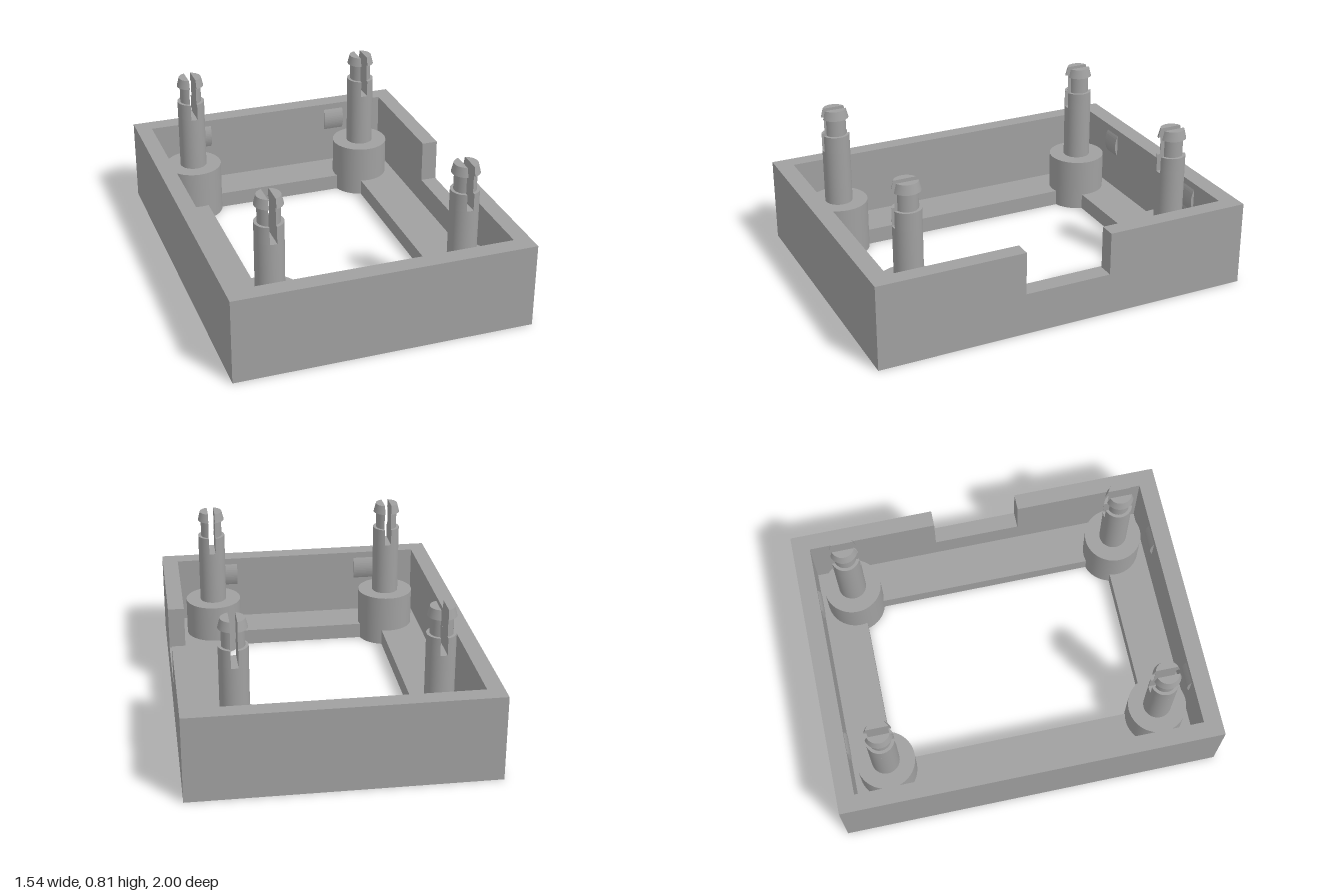
import * as THREE from 'three';

const grey = new THREE.MeshStandardMaterial({ color: 0xa0a0a0 });
grey.name = 'grey plastic';

const OX = 0.77, OZ = 1;          // outer half size
const IX = 0.685, IZ = 0.908;     // inner wall half size
const HX = 0.457, HZ = 0.687;     // floor opening half size
const FLOOR = 0.085, SILL = 0.22, TOP = 0.445, BOSS = 0.285;
const NOTCH = 0.23;               // half width of the notch

const rect = (x, z) => [[-x, -z], [x, -z], [x, z], [-x, z]].map(p => new THREE.Vector2(...p));

function add(parent, name, geometry) {
  const mesh = new THREE.Mesh(geometry, grey);
  mesh.name = name;
  parent.add(mesh);
  return mesh;
}

// Flat outline extruded upwards from y0 to y1
function slab(outline, hole, y0, y1) {
  const shape = new THREE.Shape(outline);
  if (hole) shape.holes.push(new THREE.Path(hole));
  const g = new THREE.ExtrudeGeometry(shape, { depth: y1 - y0, bevelEnabled: false });
  return g.rotateX(-Math.PI / 2).translate(0, y0, 0);
}

// Half of a split pin: circle segments beyond x = gap, stacked along a [radius, y] profile
function prongGeometry(profile, gap, n = 24) {
  const pos = [], idx = [];
  const ring = ([r, y]) => {
    const a = Math.acos(gap / r), out = [];
    for (let i = 0; i <= n; i++) {
      const t = -a + (2 * a * i) / n;
      out.push([r * Math.cos(t), y, -r * Math.sin(t)]);
    }
    return out;
  };
  const band = (low, high) => {
    const s = pos.length / 3, m = low.length;
    [...low, ...high].forEach(p => pos.push(...p));
    for (let i = 0; i < m - 1; i++) {
      const a = s + i, b = a + 1, c = a + m, d = c + 1;
      idx.push(a, b, d, a, d, c);
    }
  };
  const rings = profile.map(ring);
  for (let k = 0; k < rings.length - 1; k++) {
    const lo = rings[k], hi = rings[k + 1];
    band(lo, hi);
    if (profile[k][1] !== profile[k + 1][1]) band([lo[n], lo[0]], [hi[n], hi[0]]);
  }
  // top cap
  const last = rings[rings.length - 1], s = pos.length / 3;
  last.forEach(p => pos.push(...p));
  for (let i = 1; i < n; i++) idx.push(s, s + i, s + i + 1);
  const g = new THREE.BufferGeometry();
  g.setAttribute('position', new THREE.Float32BufferAttribute(pos, 3));
  g.setIndex(idx);
  g.computeVertexNormals();
  return g;
}

// Shallow rounded bump, its profile in depth and height swept along x
function clipGeometry(width, depth, height) {
  const shape = new THREE.Shape();
  shape.moveTo(-0.01, -height / 2);
  shape.lineTo(0, -height / 2);
  shape.quadraticCurveTo(depth * 2, 0, 0, height / 2);
  shape.lineTo(-0.01, height / 2);
  const g = new THREE.ExtrudeGeometry(shape, { depth: width, bevelEnabled: false, curveSegments: 12 });
  return g.translate(0, 0, -width / 2).rotateY(-Math.PI / 2);
}

export function createModel() {
  const model = new THREE.Group();
  model.name = 'enclosureFrame';

  // Tray: open floor, lower wall ring, upper wall interrupted by the notch
  const tray = new THREE.Group();
  tray.name = 'tray';
  model.add(tray);
  add(tray, 'floor', slab(rect(OX, OZ), rect(HX, HZ), 0, FLOOR));
  add(tray, 'lowerWall', slab(rect(OX, OZ), rect(IX, IZ), FLOOR, SILL));
  const upper = [
    [OX, NOTCH], [OX, OZ], [-OX, OZ], [-OX, -OZ], [OX, -OZ], [OX, -NOTCH],
    [IX, -NOTCH], [IX, -IZ], [-IX, -IZ], [-IX, IZ], [IX, IZ], [IX, NOTCH],
  ].map(p => new THREE.Vector2(...p));
  add(tray, 'upperWall', slab(upper, null, SILL, TOP));

  const bossGeo = new THREE.CylinderGeometry(0.153, 0.153, BOSS, 48).translate(0, BOSS / 2, 0);
  const shaftGeo = new THREE.CylinderGeometry(0.073, 0.073, 0.58 - BOSS, 40).translate(0, (0.58 + BOSS) / 2, 0);
  const prongGeo = prongGeometry(
    [[0.073, 0.58], [0.073, 0.67], [0.057, 0.67], [0.057, 0.762], [0.072, 0.762], [0.06, 0.81]], 0.018);
  const clipGeo = clipGeometry(0.114, 0.016, 0.125);

  for (const sx of [-1, 1]) {
    for (const sz of [-1, 1]) {
      // Corner post with a split snap pin
      const post = new THREE.Group();
      post.name = 'post';
      post.position.set(sx * 0.497, 0, sz * 0.725);
      model.add(post);
      add(post, 'boss', bossGeo);
      add(post, 'pinShaft', shaftGeo);
      add(post, 'pinProng', prongGeo);
      add(post, 'pinProng', prongGeo).rotation.y = Math.PI;

      // Snap bump on the inside of the end wall
      const clip = add(model, 'wallClip', clipGeo);
      clip.position.set(sx * 0.4, 0.348, sz * IZ);
      clip.rotation.y = sz > 0 ? Math.PI : 0;
    }
  }
  return model;
}
